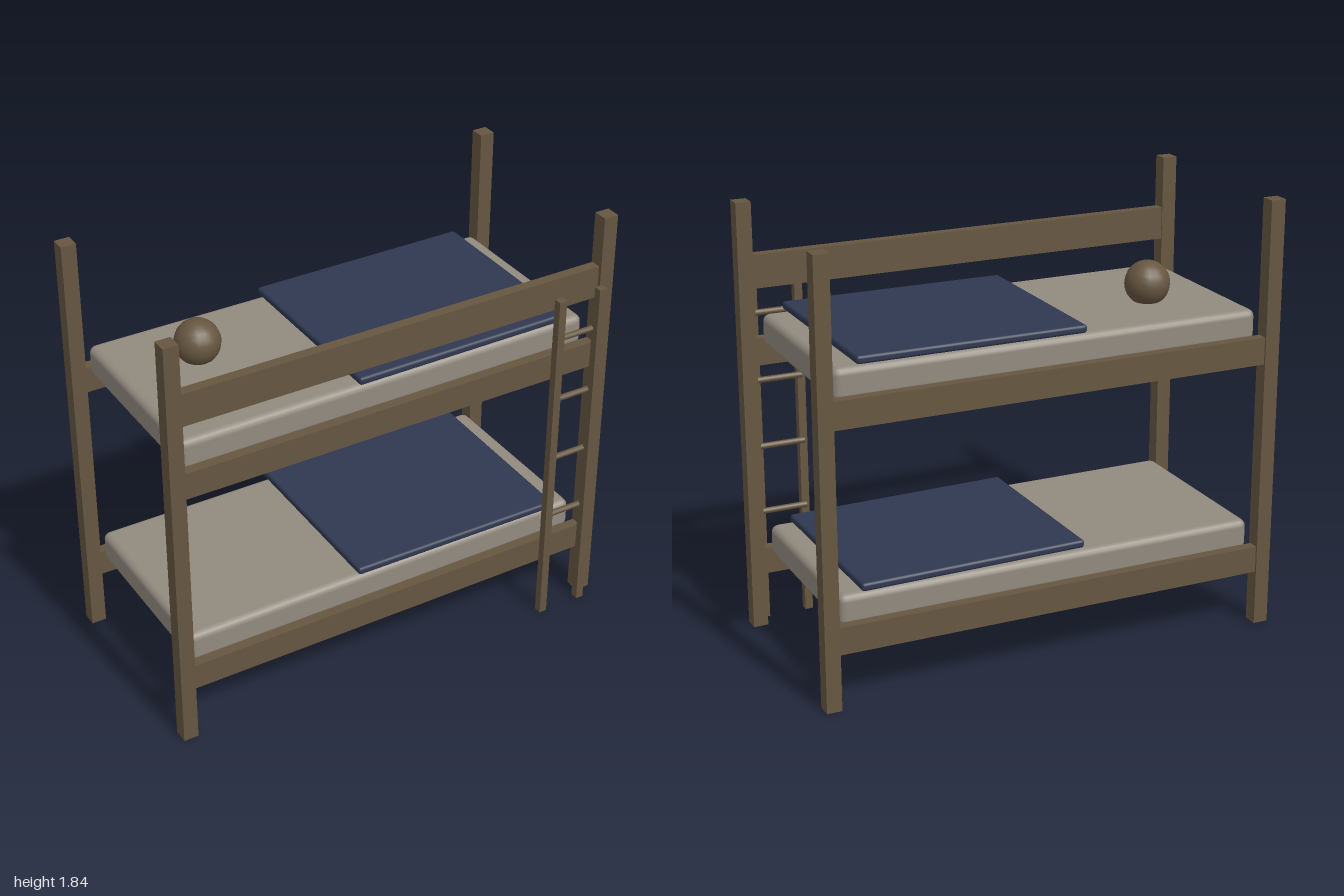
import * as THREE from 'three';
import { RoundedBoxGeometry } from 'three/addons/geometries/RoundedBoxGeometry.js';

const mat = (name, color) => {
  const m = new THREE.MeshStandardMaterial({ color });
  m.name = name;
  return m;
};

export function createModel() {
  const wood = mat('brown wood', 0x665640);
  const linen = mat('grey linen', 0x928a7f);
  const navy = mat('navy cloth', 0x2f3850);
  const model = new THREE.Group();
  model.name = 'bunkBed';

  const add = (name, geometry, material, x, y, z) => {
    const mesh = new THREE.Mesh(geometry, material);
    mesh.name = name;
    mesh.position.set(x, y, z);
    model.add(mesh);
    return mesh;
  };
  // box given by its limits on each axis; optional rounding radius
  const box = (name, material, [x0, x1], [y0, y1], [z0, z1], r = 0) => {
    const size = [x1 - x0, y1 - y0, z1 - z0];
    const g = r ? new RoundedBoxGeometry(...size, 2, r) : new THREE.BoxGeometry(...size);
    return add(name, g, material, (x0 + x1) / 2, (y0 + y1) / 2, (z0 + z1) / 2);
  };

  // corner posts
  for (const x of [-0.968, 0.968])
    for (const z of [-0.461, 0.411])
      box('post', wood, [x - 0.032, x + 0.032], [0, 1.84], [z - 0.032, z + 0.032]);

  // side rails, mattress and blanket of each bunk
  const bunks = [
    { name: 'lower', y: 0.235, slopeX: -0.012, slopeZ: 0.013, lift: 0.243 },
    { name: 'upper', y: 1.155, slopeX: 0.003, slopeZ: 0.003, lift: 0.243 },
  ];
  for (const { name, y, slopeX, slopeZ, lift } of bunks) {
    box(name + 'BackRail', wood, [-0.937, 0.937], [y, y + 0.115], [-0.485, -0.441]);
    box(name + 'FrontRail', wood, [-0.937, 0.937], [y, y + 0.115], [0.384, 0.428]);
    box(name + 'Mattress', linen, [-0.92, 0.912], [y + 0.088, y + 0.222], [-0.437, 0.381], 0.03);
    const blanket = box(name + 'Blanket', navy, [-0.147, 0.82],
      [y + lift - 0.017, y + lift + 0.017], [-0.441, 0.385], 0.012);
    blanket.rotation.set(slopeZ, 0, slopeX);
  }

  // guard rail on the front of the upper bunk
  box('guardRail', wood, [-0.937, 0.937], [1.48, 1.62], [0.384, 0.428]);

  // ladder
  for (const x of [0.722, 0.917])
    box('ladderRail', wood, [x - 0.017, x + 0.017], [0, 1.55], [0.458, 0.493]);
  const rung = new THREE.CylinderGeometry(0.013, 0.013, 0.2, 10).rotateZ(Math.PI / 2);
  for (let i = 0; i < 4; i++) add('ladderRung', rung, wood, 0.82, 0.488 + i * 0.29, 0.455);

  // ball lying on the upper mattress
  const ballGeometry = new THREE.SphereGeometry(0.095, 16, 12);
  add('ball', ballGeometry, wood, -0.585, 1.452, -0.125);

  return model;
}
